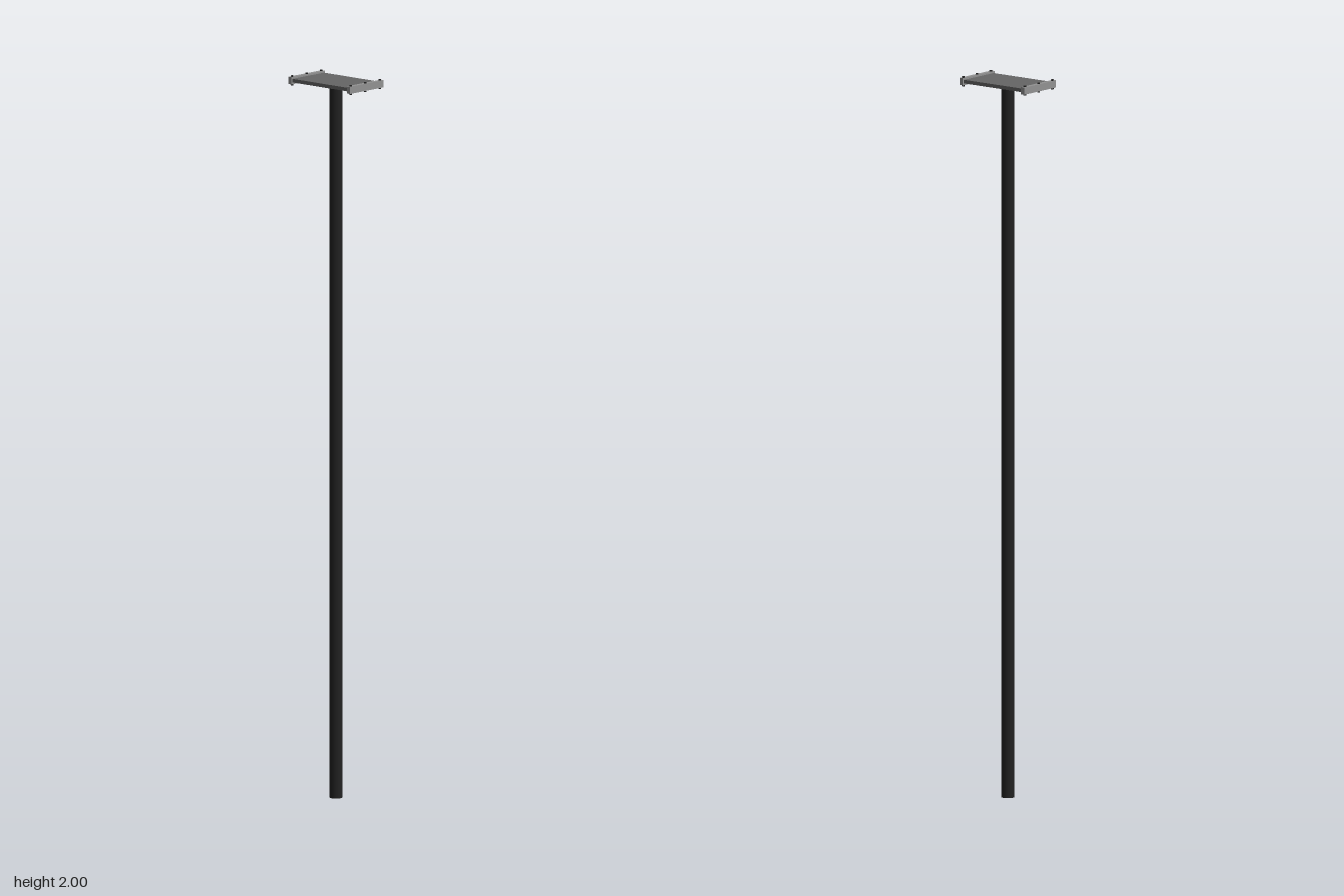
import * as THREE from 'three';

const paint = (color) => new THREE.MeshStandardMaterial({ color });

export function createModel() {
  const group = new THREE.Group();
  const black = paint(0x222222), grey = paint(0x666666), steel = paint(0x929292);

  const add = (name, geometry, material, x, y, z) => {
    const mesh = new THREE.Mesh(geometry, material);
    mesh.name = name;
    mesh.position.set(x, y, z);
    group.add(mesh);
  };

  // Tall round post
  add('post', new THREE.CylinderGeometry(0.018, 0.018, 1.982, 32), black, 0, 0.991, 0);

  // Flat panel on top of the post
  add('panel', new THREE.BoxGeometry(0.128, 0.01, 0.21), grey, 0, 1.987, 0);

  // Clamping rails at both ends, each with three through bolts
  const rail = new THREE.BoxGeometry(0.137, 0.02, 0.012);
  const bolt = new THREE.CylinderGeometry(0.004, 0.004, 0.027, 12);
  for (const side of [-1, 1]) {
    const end = side < 0 ? 'back' : 'front';
    add(end + 'Rail', rail, steel, 0, 1.987, side * 0.108);
    for (const x of [-0.059, 0, 0.059]) add(end + 'Bolt', bolt, black, x, 1.9865, side * 0.108);
  }
  return group;
}
